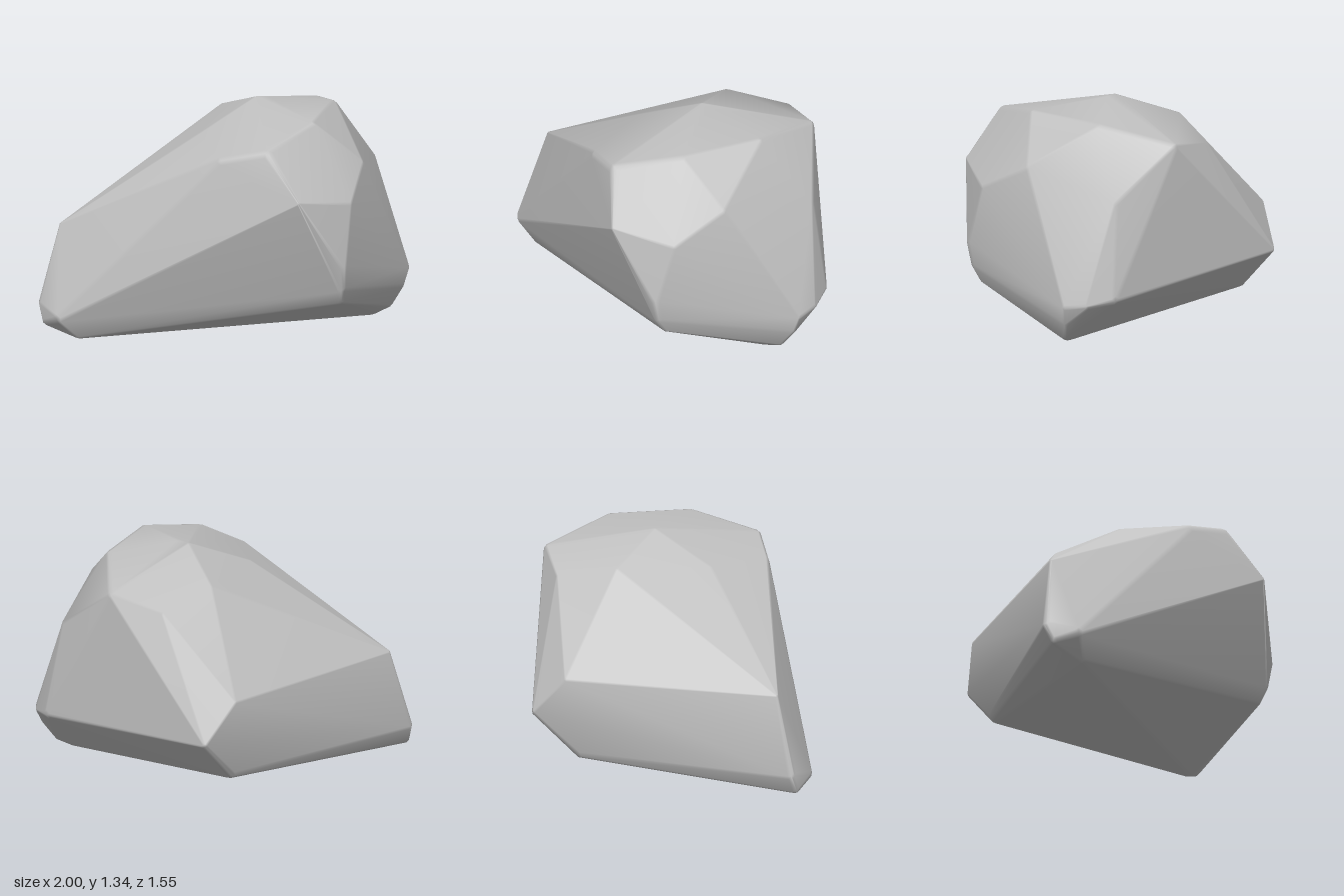
import * as THREE from 'three';
import { ConvexGeometry } from 'three/addons/geometries/ConvexGeometry.js';
import { mergeVertices } from 'three/addons/utils/BufferGeometryUtils.js';

// Corners of the rock: x, y, z and the radius of the worn edge there
const crown = [
  [0.16, 1.34, 0.03, 0.03], [0.23, 1.34, 0.03, 0.03], [-0.11, 1.21, -0.25, 0.03],
  [-0.11, 1.18, 0.32, 0.04], [0.06, 1.12, -0.57, 0.03], [0.39, 1.19, -0.57, 0.04],
  [0.58, 1.285, -0.16, 0.04], [0.57, 1.28, 0.33, 0.04], [0.1, 1.13, 0.69, 0.05],
  [0.38, 1.19, 0.69, 0.05],
];
const flanks = [
  [0.58, 0.92, 0.775, 0.015], [0.82, 1.03, 0.18, 0.04], [0.82, 0.86, 0.5, 0.04],
  [0.76, 0.9, -0.41, 0.05], [-0.895, 0.64, 0.55, 0.015],
  [-0.31, 0.42, -0.78, 0.03], [-0.43, 0.65, -0.62, 0.03],
];
const foot = [
  [1, 0.29, -0.22, 0.03], [0.95, 0.31, -0.34, 0.03], [0.85, 0.34, -0.45, 0.05],
  [0.81, 0.5, 0.61, 0.05], [0.8, 0.36, 0.58, 0.04], [0.79, 0.28, 0.53, 0.04],
  [0.975, 0.19, -0.2, 0.04], [0.92, 0.09, -0.15, 0.04], [0.84, 0.05, -0.11, 0.05],
  [-0.37, 0.155, -0.53, 0.05], [-0.78, 0.014, 0.68, 0.04], [-1, 0.17, 0.63, 0.04],
  [-0.97, 0.08, 0.66, 0.04], [-0.88, 0.12, 0.745, 0.05],
];

// Unit directions that round each corner
function sphereDirections() {
  const pos = new THREE.IcosahedronGeometry(1, 1).getAttribute('position');
  const seen = new Map();
  for (let i = 0; i < pos.count; i++) {
    const v = new THREE.Vector3().fromBufferAttribute(pos, i);
    seen.set(v.toArray().map((n) => Math.round(n * 1000)).join(), v);
  }
  return [...seen.values()];
}

export function createModel() {
  const stone = new THREE.MeshStandardMaterial({ color: 0xc0c0c0 });
  stone.name = 'light grey stone';

  // Wrap a skin around a small ball set just inside every corner
  const directions = sphereDirections();
  const centre = new THREE.Vector3(0, 0.62, 0);
  const points = [];
  for (const [x, y, z, r] of [...crown, ...flanks, ...foot]) {
    const corner = new THREE.Vector3(x, y, z);
    const inward = centre.clone().sub(corner).normalize();
    const ball = corner.addScaledVector(inward, r * 1.2);
    for (const d of directions) points.push(ball.clone().addScaledVector(d, r));
  }

  // Shared vertices give flat facets with soft edges
  let geometry = new ConvexGeometry(points);
  geometry.deleteAttribute('normal');
  geometry = mergeVertices(geometry, 1e-4);
  geometry.computeVertexNormals();

  const rock = new THREE.Mesh(geometry, stone);
  rock.name = 'rock';
  const group = new THREE.Group();
  group.name = 'boulder';
  group.add(rock);
  return group;
}
